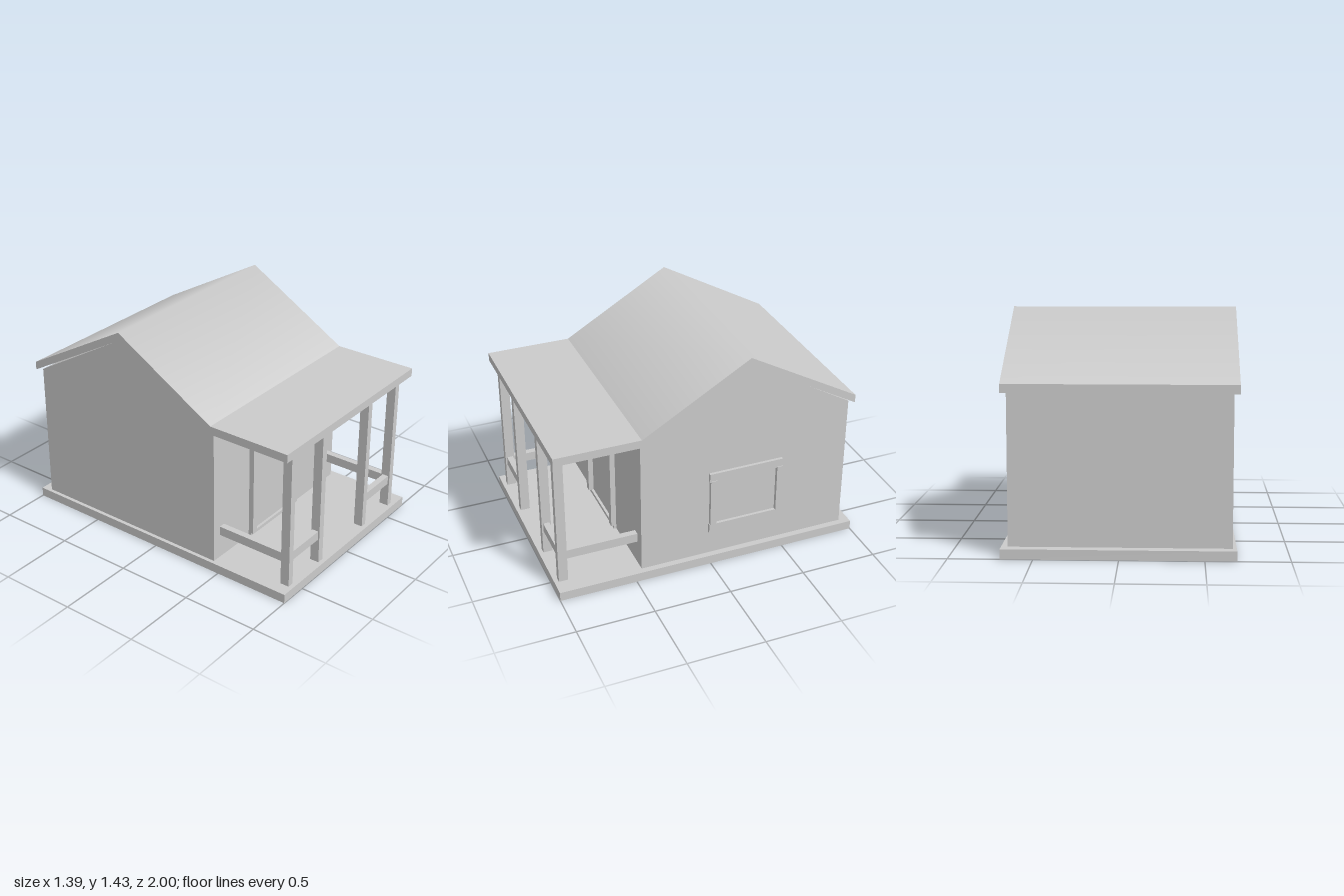
import * as THREE from 'three';

const material = new THREE.MeshStandardMaterial({ color: 0xcccccc });

export function createModel() {
  const model = new THREE.Group();
  model.name = 'cabin';

  const add = (name, geometry) => {
    const mesh = new THREE.Mesh(geometry, material);
    mesh.name = name;
    model.add(mesh);
    return mesh;
  };

  // Box given by its limits on each axis
  const box = (name, [x0, x1], [y0, y1], [z0, z1]) => {
    const g = new THREE.BoxGeometry(x1 - x0, y1 - y0, z1 - z0);
    g.translate((x0 + x1) / 2, (y0 + y1) / 2, (z0 + z1) / 2);
    return add(name, g);
  };

  // Side profile of [z, y] points, extruded along x
  const profile = (points, x0, x1) => {
    const shape = new THREE.Shape(points.map(([z, y]) => new THREE.Vector2(-z, y)));
    const g = new THREE.ExtrudeGeometry(shape, { depth: x1 - x0, bevelEnabled: false });
    g.rotateY(Math.PI / 2);
    g.translate(x0, 0, 0);
    return g;
  };

  const ridgeZ = -0.24, wallFront = 0.453, wallSide = 0.653;

  // Floor slab and gabled walls
  box('floor', [-0.687, 0.693], [0, 0.06], [-1, 1]);
  add('walls', profile([
    [wallFront, 0.06], [-0.935, 0.06], [-0.935, 0.968], [ridgeZ, 1.372], [wallFront, 0.968],
  ], -0.663, wallSide));

  // Roof: gable in front running out flat over the porch
  const gable = profile([
    [wallFront, 0.97], [wallFront, 1.023], [ridgeZ, 1.428], [-0.962, 1.023], [-0.962, 0.97], [ridgeZ, 1.375],
  ], -0.697, 0.687);
  // Shade smoothly across the ridge
  const pos = gable.attributes.position, nor = gable.attributes.normal;
  for (let i = 0; i < pos.count; i++) {
    if (Math.abs(pos.getZ(i) - ridgeZ) < 0.001 && Math.abs(nor.getX(i)) < 0.5) {
      nor.setXYZ(i, 0, Math.sign(nor.getY(i)), 0);
    }
  }
  add('gableRoof', gable);
  box('porchRoof', [-0.697, 0.687], [0.97, 1.023], [wallFront, 1]);

  // Porch posts
  const posts = [[-0.604, -0.562], [-0.283, -0.238], [0.223, 0.264], [0.543, 0.585]];
  for (const span of posts) box('porchPost', span, [0.06, 0.97], [0.912, 0.972]);

  // Porch rails: two in front, one at each side
  const railY = [0.222, 0.282];
  box('frontRail', [posts[0][1], posts[1][0]], railY, [0.922, 0.962]);
  box('frontRail', [posts[2][1], posts[3][0]], railY, [0.922, 0.962]);
  box('sideRail', posts[0], railY, [wallFront, 0.912]);
  box('sideRail', posts[3], railY, [wallFront, 0.912]);

  // Door frame
  box('doorLintel', [-0.302, 0.193], [0.675, 0.735], [wallFront, 0.47]);
  box('doorSill', [-0.302, 0.193], [0.06, 0.083], [wallFront, 0.47]);
  for (const span of [[-0.302, -0.258], [0.147, 0.19]]) {
    box('doorJamb', span, [0.083, 0.702], [wallFront, 0.487]);
  }

  // Window frame on the left wall
  for (const span of [[0.222, 0.285], [0.602, 0.66]]) {
    box('windowRail', [wallSide, 0.672], span, [-0.49, 0.005]);
  }
  for (const span of [[-0.49, -0.45], [-0.042, 0]]) {
    box('windowStile', [wallSide, 0.677], [0.285, 0.608], span);
  }

  return model;
}
